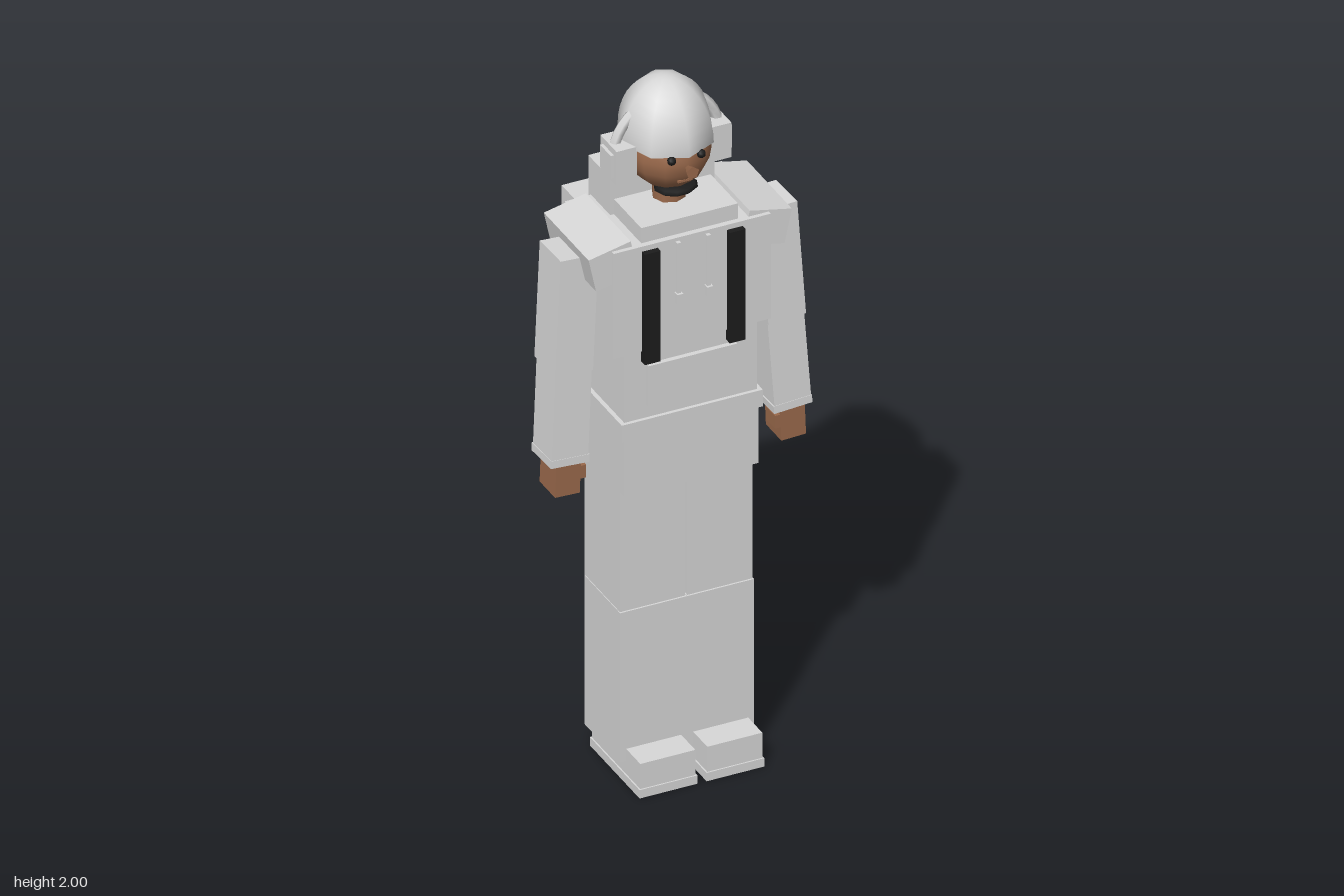
import * as THREE from 'three';

const cloth = new THREE.MeshStandardMaterial({ name: 'light grey', color: 0xd8d8d8 });
const skin = new THREE.MeshStandardMaterial({ name: 'brown skin', color: 0x9b6a4c });
const black = new THREE.MeshStandardMaterial({ name: 'black', color: 0x1c1c1c });
const shell = cloth.clone();
shell.name = 'light grey shell';
shell.side = THREE.DoubleSide;
const band = black.clone();
band.name = 'black band';
band.side = THREE.DoubleSide;

export function createModel() {
  const model = new THREE.Group();
  model.name = 'figure';

  const add = (name, geometry, material, x, y, z, parent = model) => {
    const mesh = new THREE.Mesh(geometry, material);
    mesh.name = name;
    mesh.position.set(x, y, z);
    parent.add(mesh);
    return mesh;
  };
  // Box given by its limits on each axis
  const box = (name, material, [x0, x1], [y0, y1], [z0, z1], parent = model) =>
    add(name, new THREE.BoxGeometry(x1 - x0, y1 - y0, z1 - z0), material,
      (x0 + x1) / 2, (y0 + y1) / 2, (z0 + z1) / 2, parent);
  // Box limits mirrored to side s
  const side = (s, a, b) => (s > 0 ? [a, b] : [-b, -a]);

  // Trunk
  box('hips', cloth, [-0.19, 0.19], [0.87, 1.06], [-0.07, 0.2]);
  box('hem', cloth, [-0.2, 0.2], [1.04, 1.09], [-0.075, 0.206]);
  box('abdomen', cloth, [-0.188, 0.188], [1.06, 1.32], [-0.066, 0.196]);
  box('frontPocket', cloth, [-0.126, 0.126], [1.125, 1.25], [0.19, 0.21]);
  box('chest', cloth, [-0.223, 0.223], [1.297, 1.61], [-0.079, 0.206]);
  box('collar', cloth, [-0.137, 0.137], [1.6, 1.655], [-0.06, 0.19]);
  box('hood', cloth, [-0.148, 0.148], [1.6, 1.72], [-0.094, 0.032]);

  // Backpack
  box('backpack', cloth, [-0.159, 0.159], [1.16, 1.56], [-0.226, -0.075]);
  box('backpackPocket', cloth, [-0.13, 0.13], [1.195, 1.352], [-0.262, -0.22]);
  box('pocketZip', black, [-0.133, 0.133], [1.351, 1.364], [-0.266, -0.22]);

  for (const s of [1, -1]) {
    const limb = s > 0 ? 'left' : 'right';

    // Straps and hood cords
    box(limb + 'Strap', black, side(s, 0.098, 0.143), [1.265, 1.595], [0.2, 0.223]);
    box(limb + 'Cord', cloth, side(s, 0.037, 0.048), [1.44, 1.6], [0.2, 0.217]);
    box(limb + 'CordTip', cloth, side(s, 0.034, 0.051), [1.42, 1.45], [0.2, 0.224]);

    // Leg and shoe
    box(limb + 'Thigh', cloth, side(s, 0.003, 0.188), [0.5, 0.9], [-0.034, 0.171]);
    box(limb + 'Shin', cloth, side(s, 0.0005, 0.19), [0.065, 0.51], [-0.029, 0.176]);
    box(limb + 'Sole', cloth, side(s, 0.013, 0.177), [0, 0.025], [-0.026, 0.262]);
    box(limb + 'Shoe', cloth, side(s, 0.017, 0.173), [0.025, 0.1], [-0.022, 0.258]);

    // Shoulder and arm
    const shoulder = add(limb + 'Shoulder', new THREE.BoxGeometry(0.122, 0.1, 0.26), cloth, s * 0.218, 1.565, 0.064);
    shoulder.rotation.z = -s * 0.21;
    const upper = add(limb + 'UpperArm', new THREE.BoxGeometry(0.107, 0.336, 0.122), cloth, s * 0.292, 1.402, 0.073);
    upper.rotation.set(-0.03, 0, s * 0.06);
    const fore = add(limb + 'Forearm', new THREE.BoxGeometry(0.104, 0.268, 0.108), cloth, s * 0.309, 1.105, 0.084);
    fore.rotation.set(-0.04, 0, s * 0.06);
    const cuff = add(limb + 'Cuff', new THREE.BoxGeometry(0.109, 0.022, 0.113), cloth, s * 0.316, 0.978, 0.088);
    cuff.rotation.set(-0.04, 0, s * 0.06);
    const hand = add(limb + 'Hand', new THREE.BoxGeometry(0.07, 0.095, 0.09), skin, s * 0.319, 0.925, 0.093);
    hand.rotation.z = s * 0.04;
    box(limb + 'Thumb', skin, side(s, 0.268, 0.295), [0.917, 0.955], [0.085, 0.138]);

    // Eye and earpiece
    add(limb + 'Eye', new THREE.SphereGeometry(0.012, 8, 6), black, s * 0.042, 1.82, 0.172);
    box(limb + 'Earpiece', cloth, side(s, 0.105, 0.163), [1.737, 1.84], [0.006, 0.1]);
    box(limb + 'EarpieceCap', cloth, side(s, 0.16, 0.172), [1.755, 1.822], [0.023, 0.085]);
  }

  // Neck and head
  add('neck', new THREE.CylinderGeometry(0.045, 0.045, 0.13, 8), skin, 0, 1.67, 0.07);
  add('head', new THREE.SphereGeometry(1, 12, 10), skin, 0, 1.8, 0.06).scale.set(0.112, 0.112, 0.12);
  const nose = add('nose', new THREE.ConeGeometry(0.019, 0.045, 5), skin, 0, 1.793, 0.186);
  nose.rotation.x = -Math.PI / 2;
  box('mouth', skin, [-0.02, 0.02], [1.744, 1.75], [0.155, 0.166]);
  add('chinBeard', new THREE.SphereGeometry(1, 10, 6), black, 0, 1.702, 0.11).scale.set(0.06, 0.013, 0.05);

  // Helmet with headset bow
  add('helmet', new THREE.SphereGeometry(1, 8, 10, 0, Math.PI * 2, 0, Math.PI / 2), shell, 0, 1.828, 0.052)
    .scale.set(0.126, 0.172, 0.137);
  add('headsetBow', new THREE.TorusGeometry(0.15, 0.015, 6, 20, Math.PI), cloth, 0, 1.795, 0.053);

  // Strap around the back of the head with small studs
  add('helmetStrap', new THREE.CylinderGeometry(1, 0.96, 0.04, 10, 1, true, Math.PI / 2, Math.PI), band, 0, 1.813, 0.052)
    .scale.set(0.118, 1, 0.129);
  for (let i = -2; i <= 2; i++) {
    const a = i * 0.6;
    const stud = add('strapStud', new THREE.BoxGeometry(0.02, 0.045, 0.012), black,
      Math.sin(a) * 0.118, 1.812, 0.052 - Math.cos(a) * 0.128);
    stud.rotation.y = -a;
  }
  return model;
}
